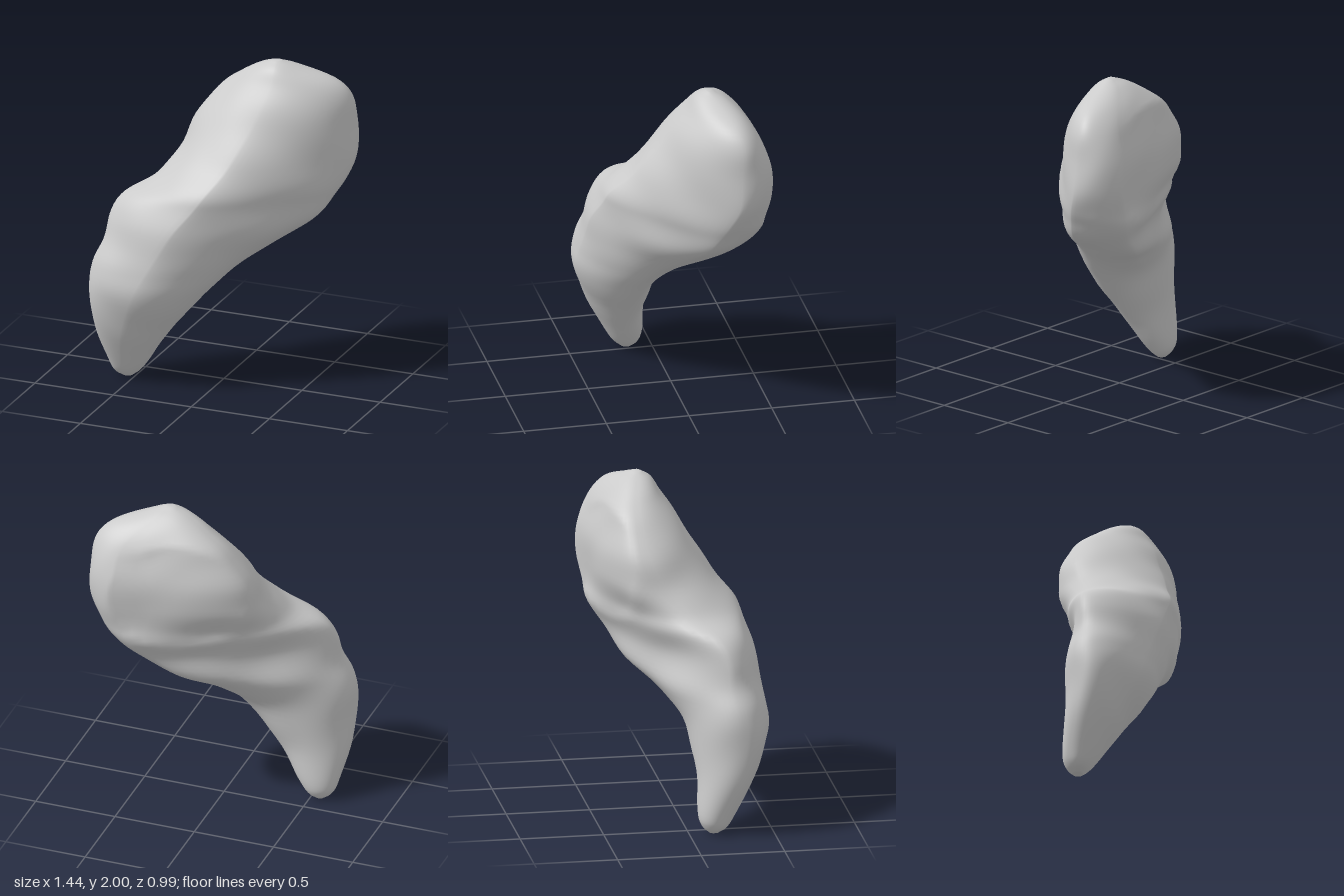
import * as THREE from 'three';

// Horizontal sections, bottom to top. Each lists y, then the (x, z) of its
// leftmost, frontmost, rightmost and rearmost points.
const SECTIONS = [
  [0.00, -0.58, 0.15, -0.55, 0.18, -0.52, 0.15, -0.55, 0.12],
  [0.04, -0.63, 0.16, -0.56, 0.23, -0.47, 0.15, -0.54, 0.08],
  [0.12, -0.66, 0.17, -0.55, 0.28, -0.41, 0.17, -0.53, 0.06],
  [0.35, -0.70, 0.26, -0.50, 0.40, -0.25, 0.21, -0.47, 0.06],
  [0.60, -0.72, 0.30, -0.40, 0.49, -0.04, 0.20, -0.32, 0.02],
  [0.76, -0.70, 0.29, -0.32, 0.49, 0.11, 0.11, -0.08, -0.09],
  [0.90, -0.65, 0.26, -0.24, 0.47, 0.30, 0.00, 0.15, -0.27],
  [1.05, -0.62, 0.24, -0.15, 0.45, 0.52, -0.10, 0.34, -0.37],
  [1.18, -0.55, 0.18, -0.05, 0.41, 0.62, -0.17, 0.44, -0.45],
  [1.28, -0.39, 0.06, 0.02, 0.37, 0.68, -0.22, 0.48, -0.47],
  [1.42, -0.30, -0.08, 0.11, 0.26, 0.72, -0.28, 0.50, -0.49],
  [1.60, -0.24, -0.17, 0.19, 0.14, 0.72, -0.30, 0.51, -0.49],
  [1.77, -0.12, -0.20, 0.25, 0.04, 0.70, -0.30, 0.49, -0.43],
  [1.88, 0.02, -0.20, 0.28, -0.04, 0.61, -0.27, 0.42, -0.36],
  [1.96, 0.15, -0.18, 0.28, -0.09, 0.41, -0.21, 0.32, -0.27],
  [2.00, 0.25, -0.17, 0.27, -0.15, 0.30, -0.17, 0.28, -0.19],
];
const RINGS = 75, SIDES = 64;

const bell = (y, centre, width) => Math.exp(-(((y - centre) / width) ** 2));
const step = THREE.MathUtils.smoothstep;

// Roundness of each quarter of a section: below 1 is boxy, above 1 is flat
const frontRight = (y) => 1.2 + 0.42 * bell(y, 1.2, 0.35);
const frontLeft = (y) => 0.82 + 0.2 * step(y, 0.7, 1.0);
const backLeft = (y) => 1 + 0.5 * bell(y, 1.03, 0.22) - 0.25 * step(y, 1.2, 1.45);
const backRight = () => 0.95;

// Gentle lumps over the surface
const lumps = (x, y, z) =>
  0.006 * Math.sin(8 * x + 5 * y) * Math.sin(9 * y - 7 * z) +
  0.004 * Math.sin(17 * z + 8 * x) * Math.sin(15 * y + 9 * x);

// Shallow oval hollow covering most of the upper back
const hollowCentre = new THREE.Vector3(0.13, 1.49, -0.42);
const hollowNormal = new THREE.Vector3(-0.3, 0, -0.954);
function pressHollow(p, outward) {
  const d = p.clone().sub(hollowCentre);
  const across = d.x * 0.954 - d.z * 0.3;
  const r = Math.hypot(across / 0.42, d.y / 0.35);
  if (r < 1 && outward.dot(hollowNormal) > 0) {
    p.addScaledVector(hollowNormal, -0.045 * (1 - r ** 4));
  }
}

function bodyGeometry() {
  const curves = [1, 3, 5, 7].map((k) => new THREE.CatmullRomCurve3(
    SECTIONS.map((s) => new THREE.Vector3(s[k], s[0], s[k + 1])), false, 'catmullrom', 0.5));
  const positions = [], index = [];

  for (let i = 0; i <= RINGS; i++) {
    const [left, front, right, back] = curves.map((c) => c.getPoint(i / RINGS));
    const y = left.y;
    const cx = (left.x + right.x) / 2, cz = (front.z + back.z) / 2;
    const fade = Math.min(1, (right.x - left.x) / 0.5);
    for (let j = 0; j < SIDES; j++) {
      const t = (j / SIDES) * Math.PI * 2, c = Math.cos(t), s = Math.sin(t);
      const sideways = c >= 0 ? right : left;
      const lengthways = s >= 0 ? back : front;
      const roundness = s >= 0 ? (c >= 0 ? backRight : backLeft) : (c >= 0 ? frontRight : frontLeft);
      const power = roundness(y);
      const p = new THREE.Vector3(
        lengthways.x + (sideways.x - lengthways.x) * Math.abs(c) ** power, y,
        sideways.z + (lengthways.z - sideways.z) * Math.abs(s) ** power);
      const outward = new THREE.Vector3(p.x - cx, 0, p.z - cz).normalize();
      p.addScaledVector(outward, fade * lumps(p.x, p.y, p.z));
      pressHollow(p, outward);
      positions.push(p.x, p.y, p.z);
      if (i < RINGS) {
        const k = (j + 1) % SIDES, m = i * SIDES, n = m + SIDES;
        index.push(m + j, m + k, n + k, m + j, n + k, n + j);
      }
    }
  }
  // Close the two tips
  for (let j = 1; j < SIDES - 1; j++) {
    const n = RINGS * SIDES;
    index.push(0, j + 1, j, n, n + j, n + j + 1);
  }
  const g = new THREE.BufferGeometry();
  g.setAttribute('position', new THREE.Float32BufferAttribute(positions, 3));
  g.setIndex(index);
  g.computeVertexNormals();
  return g;
}

export function createModel() {
  const group = new THREE.Group();
  group.name = 'curvedTaperedForm';
  const body = new THREE.Mesh(bodyGeometry(), new THREE.MeshStandardMaterial({ color: 0xcccccc }));
  body.name = 'body';
  group.add(body);
  return group;
}
